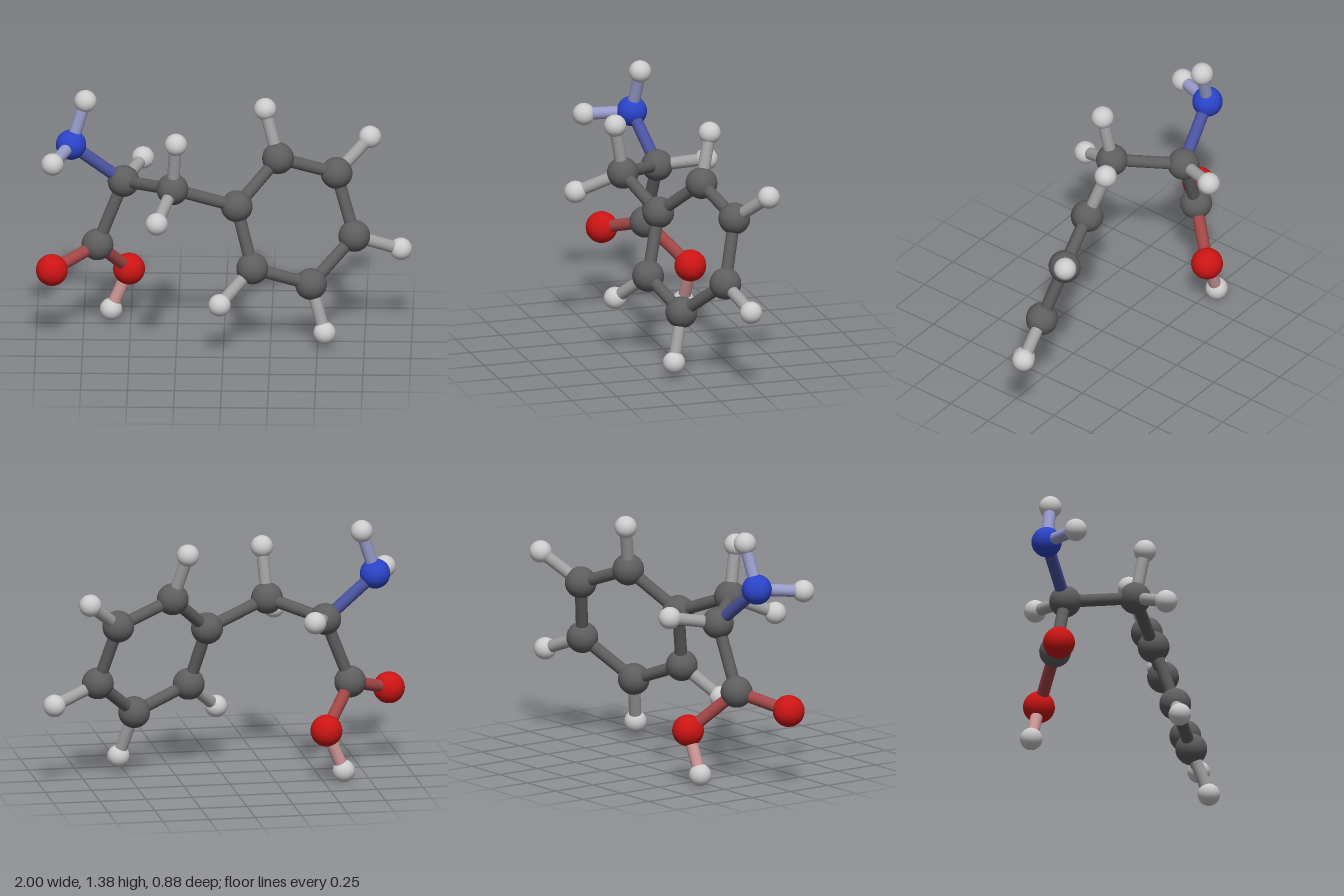
import * as THREE from 'three';

const BOND_RADIUS = 0.033;

// Radius and colour of each kind of ball
const KINDS = {
  carbon: { radius: 0.085, color: 0x5e5e5e },
  hydrogen: { radius: 0.06, color: 0xcccccc },
  oxygen: { radius: 0.085, color: 0xcc1414 },
  nitrogen: { radius: 0.081, color: 0x2a44c8 },
};

// Atoms: kind, then centre
const ATOMS = {
  ring1: ['carbon', 0.07, 0.79, 0.05],
  ring2: ['carbon', 0.287, 1.0, -0.122],
  ring3: ['carbon', 0.597, 0.885, -0.207],
  ring4: ['carbon', 0.693, 0.558, -0.126],
  ring5: ['carbon', 0.465, 0.348, 0.047],
  ring6: ['carbon', 0.154, 0.468, 0.134],
  ringHydrogen2: ['hydrogen', 0.217, 1.253, -0.19],
  ringHydrogen3: ['hydrogen', 0.773, 1.04, -0.343],
  ringHydrogen4: ['hydrogen', 0.94, 0.461, -0.191],
  ringHydrogen5: ['hydrogen', 0.539, 0.095, 0.112],
  ringHydrogen6: ['hydrogen', -0.018, 0.307, 0.265],
  chainCarbon: ['carbon', -0.271, 0.919, 0.14],
  chainHydrogenTop: ['hydrogen', -0.252, 1.191, 0.189],
  chainHydrogenFront: ['hydrogen', -0.351, 0.811, 0.38],
  centreCarbon: ['carbon', -0.536, 0.859, -0.136],
  centreHydrogen: ['hydrogen', -0.437, 0.9, -0.381],
  nitrogen: ['nitrogen', -0.815, 1.084, -0.084],
  nitrogenHydrogenTop: ['hydrogen', -0.739, 1.324, -0.106],
  nitrogenHydrogenFront: ['hydrogen', -0.91, 1.061, 0.154],
  acidCarbon: ['carbon', -0.675, 0.505, -0.115],
  acidOxygenFront: ['oxygen', -0.915, 0.421, 0.053],
  acidOxygenBack: ['oxygen', -0.51, 0.291, -0.314],
  acidHydrogen: ['hydrogen', -0.606, 0.064, -0.305],
};

// Bonds outside the ring
const BONDS = [
  ['ring1', 'chainCarbon'],
  ['chainCarbon', 'chainHydrogenTop'],
  ['chainCarbon', 'chainHydrogenFront'],
  ['chainCarbon', 'centreCarbon'],
  ['centreCarbon', 'centreHydrogen'],
  ['centreCarbon', 'nitrogen'],
  ['nitrogen', 'nitrogenHydrogenTop'],
  ['nitrogen', 'nitrogenHydrogenFront'],
  ['centreCarbon', 'acidCarbon'],
  ['acidCarbon', 'acidOxygenFront'],
  ['acidCarbon', 'acidOxygenBack'],
  ['acidOxygenBack', 'acidHydrogen'],
];

// Ring bonds and the hydrogens around the ring
for (let i = 1; i <= 6; i++) {
  BONDS.push([`ring${i}`, `ring${(i % 6) + 1}`]);
  if (i > 1) BONDS.push([`ring${i}`, `ringHydrogen${i}`]);
}

const centreOf = (name) => new THREE.Vector3(...ATOMS[name].slice(1));
const colorOf = (name) => new THREE.Color(KINDS[ATOMS[name][0]].color);

function makeAtom(name) {
  const { radius } = KINDS[ATOMS[name][0]];
  const mesh = new THREE.Mesh(
    new THREE.SphereGeometry(radius, 32, 20),
    new THREE.MeshStandardMaterial({ color: colorOf(name) })
  );
  mesh.position.copy(centreOf(name));
  mesh.name = `${name}Atom`;
  return mesh;
}

// A rod between two atoms, tinted halfway between their colours
function makeBond(from, to) {
  const a = centreOf(from);
  const b = centreOf(to);
  const direction = b.clone().sub(a);
  const mesh = new THREE.Mesh(
    new THREE.CylinderGeometry(BOND_RADIUS, BOND_RADIUS, direction.length(), 20, 1, true),
    new THREE.MeshStandardMaterial({ color: colorOf(from).lerp(colorOf(to), 0.5) })
  );
  mesh.position.copy(a).add(b).multiplyScalar(0.5);
  mesh.quaternion.setFromUnitVectors(new THREE.Vector3(0, 1, 0), direction.normalize());
  mesh.name = `${from}To${to[0].toUpperCase()}${to.slice(1)}Bond`;
  return mesh;
}

export function createModel() {
  const model = new THREE.Group();
  model.name = 'molecule';

  const atoms = new THREE.Group();
  atoms.name = 'atoms';
  for (const name of Object.keys(ATOMS)) atoms.add(makeAtom(name));

  const bonds = new THREE.Group();
  bonds.name = 'bonds';
  for (const [from, to] of BONDS) bonds.add(makeBond(from, to));

  model.add(atoms, bonds);
  return model;
}
